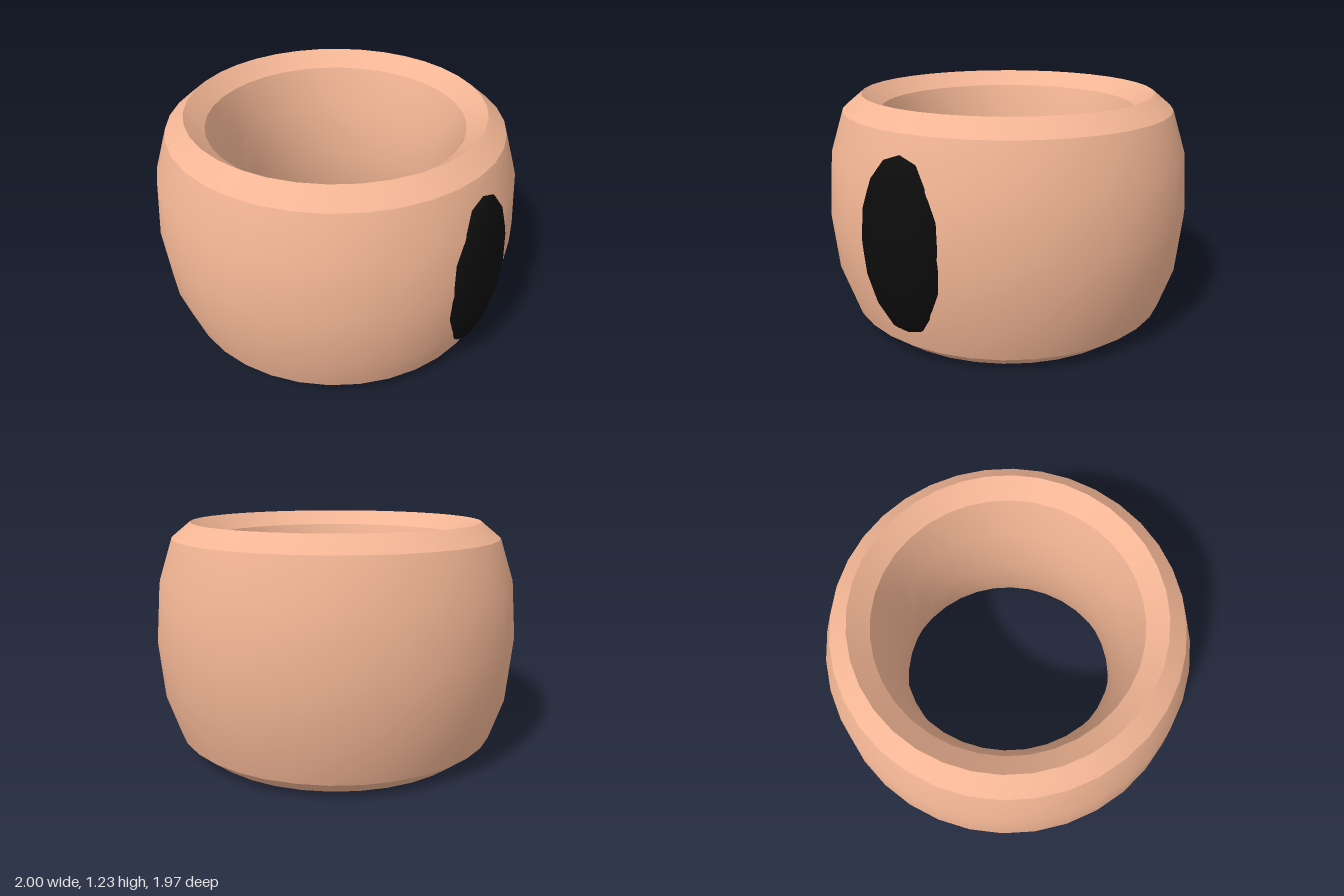
import * as THREE from 'three';
import { toCreasedNormals } from 'three/addons/utils/BufferGeometryUtils.js';

const HALF_HEIGHT = 0.6125;

export function createModel() {
  const model = new THREE.Group();

  // Barrel-shaped band: a twelve-sided tube ring stretched upward
  const bandGeometry = new THREE.TorusGeometry(0.785, 0.2, 12, 36);
  bandGeometry.rotateX(Math.PI / 2);
  bandGeometry.scale(1, HALF_HEIGHT / 0.2, 1);
  const band = new THREE.Mesh(
    toCreasedNormals(bandGeometry, THREE.MathUtils.degToRad(30)),
    new THREE.MeshStandardMaterial({ color: 0xf2b594 })
  );
  band.name = 'band';
  band.position.set(-0.015, HALF_HEIGHT, 0);
  model.add(band);

  // Oval spot: a flattened ellipsoid sunk into the left side of the band
  const spotGeometry = new THREE.SphereGeometry(1, 16, 8);
  spotGeometry.scale(0.1, 0.44, 0.245);
  const spot = new THREE.Mesh(
    spotGeometry,
    new THREE.MeshStandardMaterial({ color: 0x0c0c0c })
  );
  spot.name = 'ovalSpot';
  spot.position.set(0.9, HALF_HEIGHT, 0);
  model.add(spot);

  return model;
}
